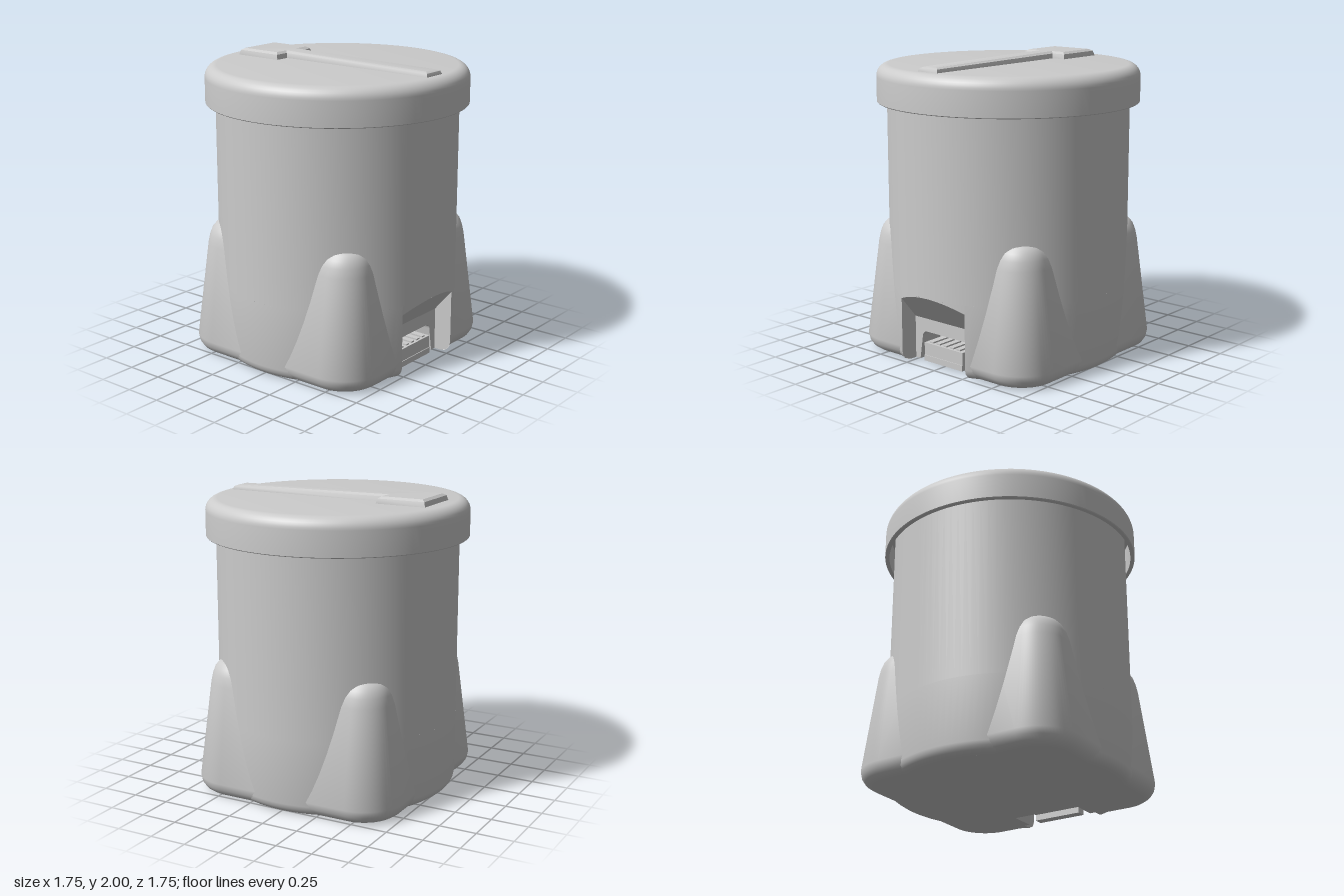
import * as THREE from 'three';
import { toCreasedNormals } from 'three/addons/utils/BufferGeometryUtils.js';

const material = new THREE.MeshStandardMaterial({ color: 0xcccccc, side: THREE.DoubleSide });
const R = 0.808;          // body radius
const NOTCH = 0.28;       // half width of the port notch
const WALL = 0.63;        // x of the notch's back wall
const NOTCH_TOP = 0.5;

function add(parent, name, geometry) {
  const mesh = new THREE.Mesh(geometry, material);
  mesh.name = name;
  parent.add(mesh);
  return mesh;
}

// Surface through rows of points; point(i, j) returns [x, y, z]
function grid(rows, cols, point, crease = 0.6) {
  const pos = [], index = [];
  for (let i = 0; i < rows; i++) for (let j = 0; j < cols; j++) pos.push(...point(i, j));
  for (let i = 0; i < rows - 1; i++) for (let j = 0; j < cols - 1; j++) {
    const a = i * cols + j, b = a + 1, c = a + cols, d = c + 1;
    index.push(a, c, b, b, c, d);
  }
  const g = new THREE.BufferGeometry();
  g.setAttribute('position', new THREE.Float32BufferAttribute(pos, 3));
  g.setIndex(index);
  return toCreasedNormals(g, crease);
}

const lathe = (points) => toCreasedNormals(
  new THREE.LatheGeometry(points.map(([x, y]) => new THREE.Vector2(x, y)), 96), 0.6);

function makeBody() {
  const body = new THREE.Group();
  body.name = 'body';
  add(body, 'upperBody', lathe([[R, NOTCH_TOP], [R, 1.9]]));

  // Lower wall with rounded foot edge, leaving the notch open
  const profile = [[0.738, 0], [0.765, 0.006], [0.787, 0.021], [0.802, 0.043], [R, 0.07], [R, NOTCH_TOP]];
  add(body, 'lowerBody', grid(profile.length, 97, (i, j) => {
    const [r, y] = profile[i];
    const gap = Math.asin(NOTCH / r);
    const t = gap + (j / 96) * (2 * Math.PI - 2 * gap);
    return [r * Math.cos(t), y, r * Math.sin(t)];
  }));

  // Bottom plate with the notch cut out
  const a = Math.asin(NOTCH / 0.738);
  const plate = new THREE.Shape();
  plate.absarc(0, 0, 0.738, a, 2 * Math.PI - a, false);
  plate.lineTo(0.45, -NOTCH);
  plate.lineTo(0.45, NOTCH);
  add(body, 'bottomPlate', new THREE.ShapeGeometry(plate, 64).rotateX(Math.PI / 2));
  return body;
}

// Flared corner foot: a rounded corner swept through shrinking insets
function makeFoot() {
  const rows = [[0, 0.085], [0.007, 0.06], [0.027, 0.03], [0.058, 0.009], [0.1, 0],
    [0.75, 0.085], [0.81, 0.098], [0.855, 0.115], [0.885, 0.14], [0.905, 0.17], [0.913, 0.21], [0.915, 0.28]];
  const cx = 0.465, cz = 0.505, radius = 0.28, arc = 20;
  return grid(rows.length + 1, arc + 3, (i, j) => {
    if (i === 0) return [0.15, 0, 0.29];          // closes the underside
    const [y, inset] = rows[i - 1];
    const r = radius - inset;
    if (j === 0) return [cx + r, y, 0.29];
    if (j === arc + 2) return [0.15, y, cz + r];
    const t = ((j - 1) / arc) * Math.PI / 2;
    return [cx + r * Math.cos(t), y, cz + r * Math.sin(t)];
  });
}

function makePort() {
  const port = new THREE.Group();
  port.name = 'port';
  const slope = (NOTCH_TOP - 0.29) / (R - WALL);
  const edgeX = Math.sqrt(R * R - NOTCH * NOTCH);
  const edgeY = NOTCH_TOP - (R - edgeX) * slope;

  // Arched rim of the body above the notch, then the sloping roof
  add(port, 'notchRoof', grid(3, 25, (i, j) => {
    const z = NOTCH * (j / 12 - 1);
    const x = Math.sqrt(R * R - z * z);
    return [[x, NOTCH_TOP, z], [x, NOTCH_TOP - (R - x) * slope, z], [WALL, 0.29, z]][i];
  }));

  // Notch side walls, following the rounded lower edge
  const side = new THREE.Shape();
  side.moveTo(WALL, 0);
  side.lineTo(0.683, 0);
  side.lineTo(0.736, 0.021);
  side.lineTo(edgeX, 0.07);
  side.lineTo(edgeX, edgeY);
  side.lineTo(WALL, 0.29);
  for (const s of [-1, 1]) add(port, 'notchSide', new THREE.ShapeGeometry(side)).position.z = s * NOTCH;

  // Back wall with a tapered, round-cornered recess open at the bottom
  const wall = new THREE.Shape();
  wall.moveTo(-NOTCH, 0);
  wall.lineTo(-0.24, 0);
  wall.lineTo(-0.215, 0.16);
  wall.quadraticCurveTo(-0.21, 0.2, -0.17, 0.2);
  wall.lineTo(0.17, 0.2);
  wall.quadraticCurveTo(0.21, 0.2, 0.215, 0.16);
  wall.lineTo(0.24, 0);
  wall.lineTo(NOTCH, 0);
  wall.lineTo(NOTCH, 0.29);
  wall.lineTo(-NOTCH, 0.29);
  const wallGeo = new THREE.ExtrudeGeometry(wall, { depth: WALL - 0.45, bevelEnabled: false });
  add(port, 'portWall', toCreasedNormals(wallGeo.rotateY(Math.PI / 2), 0.5)).position.x = 0.45;

  const box = (name, x0, x1, y0, y1, w, z = 0) =>
    add(port, name, new THREE.BoxGeometry(x1 - x0, y1 - y0, w))
      .position.set((x0 + x1) / 2, (y0 + y1) / 2, z);
  box('recessBack', 0.44, 0.45, 0, 0.22, 0.5);
  box('connector', 0.45, 0.66, 0.05, 0.135, 0.34);
  box('connectorLip', 0.6, 0.665, 0.01, 0.05, 0.34);
  for (let k = -2; k <= 2; k++) box('connectorRib', 0.5, 0.645, 0.135, 0.145, 0.03, k * 0.06);
  return port;
}

function makeHandle() {
  // Inset outline of a wide head and a narrow stem; the bevel slopes the sides
  const outline = [[-0.685, -0.15], [-0.4, -0.15], [-0.4, -0.052], [0.745, -0.052],
    [0.745, 0.052], [-0.4, 0.052], [-0.4, 0.15], [-0.685, 0.15]];
  const shape = new THREE.Shape(outline.map(([x, y]) => new THREE.Vector2(x, y)));
  const g = new THREE.ExtrudeGeometry(shape,
    { depth: 0.01, bevelThickness: 0.045, bevelSize: 0.03, bevelSegments: 2 });
  g.rotateX(-Math.PI / 2).translate(0, 1.945, 0);
  // Top slopes gently down towards the stem's end
  const p = g.attributes.position;
  for (let i = 0; i < p.count; i++) {
    const drop = 1 - 0.33 * THREE.MathUtils.clamp((p.getX(i) + 0.4) / 1.17, 0, 1);
    if (p.getY(i) > 1.955) p.setY(i, 1.955 + (p.getY(i) - 1.955) * drop);
  }
  return toCreasedNormals(g, 0.5);
}

export function createModel() {
  const model = new THREE.Group();
  model.name = 'canister';
  model.add(makeBody(), makePort());

  const foot = makeFoot();
  for (const sx of [-1, 1]) for (const sz of [-1, 1]) add(model, 'cornerFoot', foot).scale.set(sx, 1, sz);

  // Lid with a rounded top edge and a hollow skirt
  const lid = [[0.8, 1.9], [0.845, 1.9], [0.845, 1.705], [0.87, 1.705], [0.875, 1.71]];
  for (let k = 0; k <= 8; k++) {
    const t = (k / 8) * Math.PI / 2;
    lid.push([0.795 + 0.08 * Math.cos(t), 1.875 + 0.08 * Math.sin(t)]);
  }
  lid.push([0, 1.955]);
  add(model, 'lid', lathe(lid));
  add(model, 'lidHandle', makeHandle());
  return model;
}
